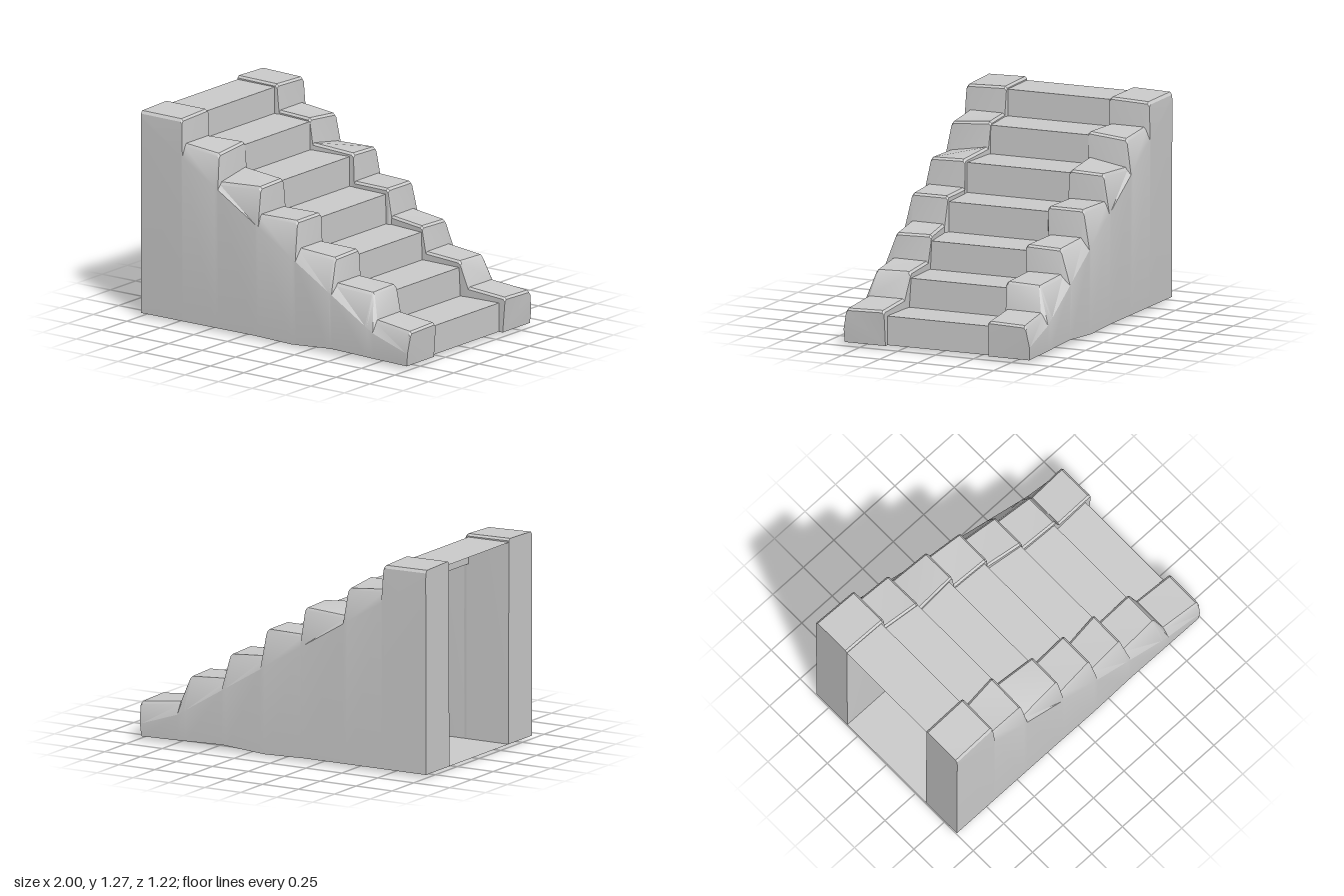
import * as THREE from 'three';
import { toCreasedNormals } from 'three/addons/utils/BufferGeometryUtils.js';

const BASE = 0.02;   // height of the underside
const BEVEL = 0.013; // worn edge of the stones

// Side wall steps, back end then nose: x, outer y, inner y, outer z, inner z
const STEPS = [
  [[-1, 1.265, 1.275, 0.61, 0.345], [-0.70, 1.26, 1.272, 0.603, 0.34]],
  [[-0.69, 1.108, 1.112, 0.585, 0.345], [-0.44, 1.085, 1.11, 0.58, 0.32]],
  [[-0.425, 0.915, 0.958, 0.588, 0.328], [-0.135, 0.928, 0.938, 0.572, 0.345]],
  [[-0.125, 0.765, 0.768, 0.59, 0.34], [0.135, 0.763, 0.768, 0.568, 0.33]],
  [[0.152, 0.597, 0.60, 0.568, 0.343], [0.403, 0.575, 0.585, 0.548, 0.312]],
  [[0.422, 0.425, 0.428, 0.562, 0.323], [0.685, 0.405, 0.415, 0.545, 0.315]],
  [[0.73, 0.252, 0.258, 0.578, 0.333], [0.997, 0.226, 0.236, 0.593, 0.342]],
];

// Uneven underside, interpolated along x
function lerpTable(table, x) {
  for (let i = 1; i < table.length; i++) {
    const [x0, y0] = table[i - 1], [x1, y1] = table[i];
    if (x <= x1) return y0 + (y1 - y0) * (x - x0) / (x1 - x0);
  }
  return table[table.length - 1][1];
}
const OUTER_BASE = [[-1, 0.02], [-0.15, 0.02], [0.12, 0.012], [0.42, 0.034], [0.9, 0.02], [1, 0.02]];
const INNER_BASE = [[-1, 0.02], [-0.15, 0.02], [0.12, 0.0], [0.7, 0.016], [1, 0.02]];

// One cross-section of a side wall, from inner foot over the top to outer foot
function wallSection([x, yo, yi, zo, zi], footX = x) {
  const shoulder = Math.max(0.1, 0.62 - 0.6 * x);
  return [
    [footX, lerpTable(INNER_BASE, x), 0.34],
    [x, yi - BEVEL, zi],
    [x, yi, zi + BEVEL],
    [x, yo + 0.004, zo - BEVEL],
    [x, yo - BEVEL, zo],
    [x - (x - footX) * 0.5, shoulder, 0.612],
    [footX, lerpTable(OUTER_BASE, x), 0.608],
  ];
}

// Stepped side wall lofted through its sections; side is +1 or -1 in z
function sideWall(side) {
  const sections = [];
  STEPS.forEach(([back, nose], i) => {
    const [x, yo, yi, zo, zi] = nose;
    const footX = i === STEPS.length - 1 ? 0.982 : x;
    sections.push(wallSection(back));
    sections.push(wallSection([x - BEVEL, yo, yi, zo, zi], footX - BEVEL));
    sections.push(wallSection([x, yo - BEVEL, yi - BEVEL, zo, zi], footX));
  });
  const n = sections[0].length;
  const positions = sections.flat().flatMap(([x, y, z]) => [x, y, z * side]);
  const index = [];
  const tri = (a, b, c) => index.push(...(side > 0 ? [a, b, c] : [a, c, b]));
  for (let i = 0; i < sections.length - 1; i++) {
    for (let j = 0; j < n; j++) {
      const k = (j + 1) % n;
      const a = i * n + j, b = i * n + k, c = b + n, d = a + n;
      tri(a, b, c);
      tri(a, c, d);
    }
  }
  const last = (sections.length - 1) * n;
  for (let j = 1; j < n - 1; j++) {
    tri(0, j + 1, j);
    tri(last, last + j, last + j + 1);
  }
  const geo = new THREE.BufferGeometry();
  geo.setAttribute('position', new THREE.Float32BufferAttribute(positions, 3));
  geo.setIndex(index);
  return toCreasedNormals(geo, 0.5);
}

export function createModel() {
  const group = new THREE.Group();
  const stone = new THREE.MeshStandardMaterial({ color: 0xcccccc });
  const thin = new THREE.MeshStandardMaterial({ color: 0xcccccc, side: THREE.DoubleSide });
  const add = (name, geo, mat, parent = group) => {
    const mesh = new THREE.Mesh(geo, mat);
    mesh.name = name;
    parent.add(mesh);
    return mesh;
  };

  // Mirrored stepped walls
  add('frontSideWall', sideWall(1), stone);
  add('backSideWall', sideWall(-1), stone);

  // Treads and risers, open at the tall end; their ends run into the walls
  const stairs = new THREE.Group();
  stairs.name = 'stairs';
  group.add(stairs);
  const tops = [1.253, 1.09, 0.915, 0.732, 0.548, 0.375, 0.197];
  const width = 0.72, run = 1.953 / tops.length;
  tops.forEach((y, i) => {
    const x0 = -1 + i * run, x1 = x0 + run;
    const below = i < tops.length - 1 ? tops[i + 1] : BASE;
    const tread = add('tread', new THREE.PlaneGeometry(run, width).rotateX(-Math.PI / 2), thin, stairs);
    tread.position.set((x0 + x1) / 2, y, 0);
    const riser = add('riser', new THREE.PlaneGeometry(width, y - below).rotateY(Math.PI / 2), thin, stairs);
    riser.position.set(x1, (y + below) / 2, 0);
  });

  // Floor under the hollow stairs
  const floor = add('floor', new THREE.PlaneGeometry(1.953, 0.7).rotateX(-Math.PI / 2), thin);
  floor.position.set(-1 + 1.953 / 2, BASE, 0);

  return group;
}
